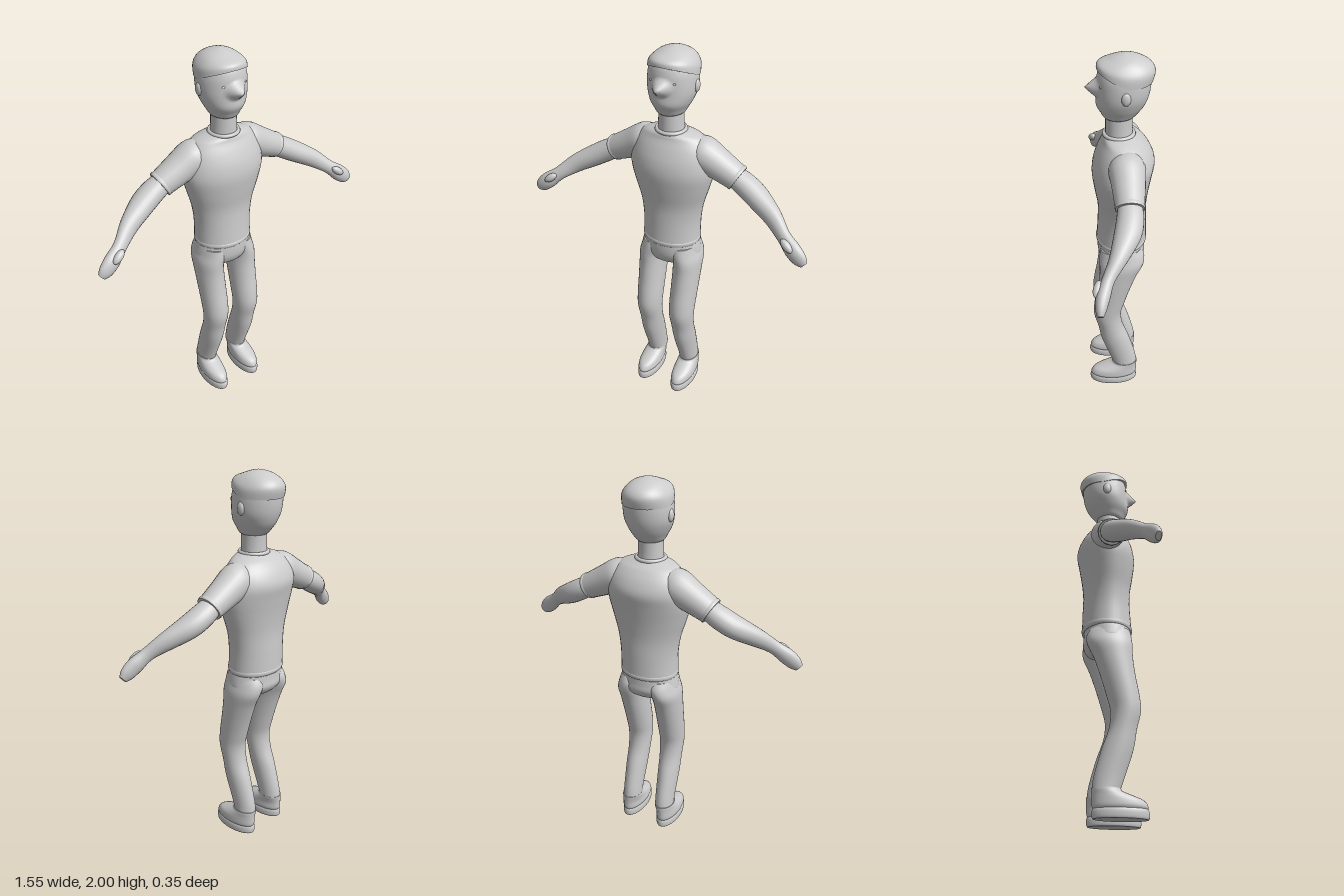
import * as THREE from 'three';

const grey = new THREE.MeshStandardMaterial({ color: 0xcccccc });
grey.name = 'plain grey';

// Catmull-Rom interpolation of section rows, n steps per span
function smooth(rows, n) {
  const out = [];
  const at = (i) => rows[Math.max(0, Math.min(rows.length - 1, i))];
  for (let i = 0; i < rows.length - 1; i++) {
    for (let k = 0; k < n; k++) {
      const t = k / n;
      out.push(rows[i].map((b, c) => {
        const a = at(i - 1)[c], d = at(i + 1)[c], e = at(i + 2)[c];
        return b + 0.5 * t * (d - a + t * (2 * a - 5 * b + 4 * d - e + t * (3 * (b - d) + e - a)));
      }));
    }
  }
  out.push(rows[rows.length - 1]);
  return out;
}

// Skin over elliptical rings {c, u, v}, with crisp end caps
function loft(name, rings, seg, warp) {
  const pos = [], idx = [], n = rings.length;
  const ringPoints = (r) => {
    for (let j = 0; j < seg; j++) {
      const a = (j / seg) * Math.PI * 2;
      const p = r.c.clone().addScaledVector(r.u, Math.cos(a)).addScaledVector(r.v, Math.sin(a));
      if (warp) warp(p);
      pos.push(p.x, p.y, p.z);
    }
  };
  rings.forEach(ringPoints);
  for (let i = 0; i < n - 1; i++) {
    for (let j = 0; j < seg; j++) {
      const a = i * seg + j, b = i * seg + (j + 1) % seg;
      idx.push(a, a + seg, b, b, a + seg, b + seg);
    }
  }
  [rings[0], rings[n - 1]].forEach((r, end) => {
    const base = pos.length / 3;
    ringPoints(r);
    pos.push(r.c.x, r.c.y, r.c.z);
    for (let j = 0; j < seg; j++) {
      const a = base + j, b = base + (j + 1) % seg;
      idx.push(...(end ? [a, base + seg, b] : [b, base + seg, a]));
    }
  });
  // turn faces outward whatever the direction of the rings
  const P = (k) => new THREE.Vector3().fromArray(pos, idx[k] * 3);
  let volume = 0;
  for (let k = 0; k < idx.length; k += 3) volume += P(k).dot(P(k + 1).cross(P(k + 2)));
  if (volume < 0) idx.reverse();
  const g = new THREE.BufferGeometry();
  g.setAttribute('position', new THREE.Float32BufferAttribute(pos, 3));
  g.setIndex(idx);
  g.computeVertexNormals();
  return named(name, g);
}

function named(name, geometry) {
  const m = new THREE.Mesh(geometry, grey);
  m.name = name;
  return m;
}

// Upright part: rows of [y, centre x, half width, front z, back z]
function upright(name, rows, s = 1, n = 4, seg = 32, warp) {
  return loft(name, smooth(rows, n).map(([y, cx, rx, zf, zb]) => ({
    c: new THREE.Vector3(cx * s, y, (zf + zb) / 2),
    u: new THREE.Vector3(rx, 0, 0),
    v: new THREE.Vector3(0, 0, (zf - zb) / 2),
  })), seg, warp);
}

// Limb in the front plane: rows of [x, y, z, half thickness, half depth]
function limb(name, rows, s, n = 4) {
  const r = smooth(rows, n);
  return loft(name, r.map(([x, y, z, ru, rz], i) => {
    const a = r[Math.max(0, i - 1)], b = r[Math.min(r.length - 1, i + 1)];
    const d = new THREE.Vector2(b[0] - a[0], b[1] - a[1]).normalize();
    return {
      c: new THREE.Vector3(x * s, y, z),
      u: new THREE.Vector3(-d.y * ru * s, d.x * ru, 0),
      v: new THREE.Vector3(0, 0, rz),
    };
  }), 24);
}

function ellipsoid(name, x, y, z, rx, ry, rz) {
  const m = named(name, new THREE.SphereGeometry(1, 20, 14));
  m.scale.set(rx, ry, rz);
  m.position.set(x, y, z);
  return m;
}

export function createModel() {
  const model = new THREE.Group();
  model.name = 'standingMan';

  // Shirt
  model.add(upright('shirt', [
    [0.985, 0, 0.155, 0.12, -0.142], [1.1, 0, 0.156, 0.112, -0.14], [1.2, 0, 0.171, 0.11, -0.138],
    [1.3, 0, 0.2, 0.125, -0.148], [1.39, 0, 0.222, 0.136, -0.163], [1.46, 0, 0.22, 0.128, -0.174],
    [1.52, 0, 0.2, 0.106, -0.153], [1.565, 0, 0.165, 0.083, -0.118], [1.585, 0, 0.13, 0.076, -0.09],
    [1.6, 0, 0.08, 0.068, -0.068]], 1, 4, 40));
  model.add(upright('shirtHem', [
    [0.974, 0, 0.15, 0.113, -0.135], [0.98, 0, 0.156, 0.12, -0.142],
    [0.995, 0, 0.157, 0.122, -0.144], [1.002, 0, 0.153, 0.117, -0.14]], 1, 2, 40));
  const collar = named('collar', new THREE.TorusGeometry(0.071, 0.01, 10, 36));
  collar.rotation.x = Math.PI / 2;
  collar.position.set(0, 1.6, 0.001);
  model.add(collar);

  // Hips
  model.add(upright('hips', [
    [0.843, 0, 0.09, 0.06, -0.07], [0.86, 0, 0.13, 0.09, -0.105], [0.9, 0, 0.162, 0.11, -0.133],
    [0.94, 0, 0.16, 0.116, -0.133], [0.98, 0, 0.152, 0.116, -0.132]]));

  // Neck and head
  model.add(upright('neck', [
    [1.58, 0, 0.067, 0.067, -0.067], [1.64, 0, 0.063, 0.066, -0.064],
    [1.72, 0, 0.061, 0.065, -0.066]], 1, 3));
  model.add(upright('head', [
    [1.685, 0, 0.045, 0.06, -0.05], [1.695, 0, 0.068, 0.076, -0.072], [1.72, 0, 0.083, 0.09, -0.095],
    [1.755, 0, 0.102, 0.108, -0.12], [1.8, 0, 0.118, 0.108, -0.138], [1.85, 0, 0.122, 0.106, -0.147],
    [1.9, 0, 0.117, 0.101, -0.148], [1.94, 0, 0.1, 0.085, -0.135], [1.97, 0, 0.06, 0.045, -0.095]],
  1, 6, 64, (p) => {
    // pointed nose drawn out of the face
    if (p.z > 0) p.z += 0.055 * Math.max(0, 1 - Math.hypot(p.x / 0.055, (p.y - 1.84) / 0.046));
  }));
  model.add(upright('hairCap', [
    [1.875, 0, 0.123, 0.105, -0.156], [1.92, 0, 0.119, 0.102, -0.166],
    [1.953, 0, 0.1, 0.086, -0.15], [1.978, 0, 0.072, 0.05, -0.112],
    [1.992, 0, 0.037, 0.01, -0.073], [1.999, 0, 0.002, -0.026, -0.03]], 1, 4, 40, (p) => {
    // rim rises toward the forehead
    p.y += 0.42 * Math.max(0, p.z + 0.04) * Math.max(0, (1.98 - p.y) / 0.105);
  }));

  for (const s of [1, -1]) {
    const side = s > 0 ? 'left' : 'right';
    const add = (m) => { m.name = side + m.name; model.add(m); };

    // Face details
    add(ellipsoid('Ear', s * 0.119, 1.83, -0.026, 0.014, 0.032, 0.022));
    add(ellipsoid('Eye', s * 0.06, 1.864, 0.087, 0.008, 0.005, 0.005));

    // Sleeve, cuff and arm
    add(limb('Sleeve', [
      [0.135, 1.49, -0.03, 0.08, 0.075], [0.16, 1.488, -0.03, 0.088, 0.089],
      [0.24, 1.448, -0.033, 0.078, 0.08], [0.345, 1.395, -0.034, 0.065, 0.068]], s));
    add(limb('Cuff', [
      [0.332, 1.402, -0.034, 0.066, 0.068], [0.338, 1.399, -0.034, 0.069, 0.071],
      [0.347, 1.394, -0.034, 0.067, 0.069]], s, 2));
    add(limb('Arm', [
      [0.32, 1.408, -0.034, 0.05, 0.055], [0.39, 1.37, -0.032, 0.057, 0.064],
      [0.47, 1.325, -0.014, 0.056, 0.064], [0.56, 1.275, 0.028, 0.048, 0.046],
      [0.64, 1.218, 0.08, 0.036, 0.032], [0.695, 1.175, 0.103, 0.043, 0.033],
      [0.737, 1.14, 0.113, 0.038, 0.025], [0.761, 1.12, 0.116, 0.022, 0.014]], s));
    const thumb = ellipsoid('Thumb', s * 0.67, 1.203, 0.126, 0.04, 0.02, 0.02);
    thumb.rotation.set(0, s * -0.3, s * -0.6);
    add(thumb);

    // Trouser leg
    add(upright('Leg', [
      [0.13, 0.104, 0.051, 0.038, -0.096], [0.2, 0.103, 0.052, 0.062, -0.086],
      [0.33, 0.102, 0.058, 0.105, -0.05], [0.43, 0.1, 0.062, 0.123, -0.015],
      [0.52, 0.1, 0.067, 0.144, -0.006], [0.6, 0.1, 0.07, 0.14, -0.025],
      [0.7, 0.101, 0.072, 0.122, -0.055], [0.8, 0.102, 0.073, 0.109, -0.09],
      [0.87, 0.1, 0.074, 0.108, -0.123], [0.92, 0.085, 0.076, 0.106, -0.128],
      [0.96, 0.08, 0.07, 0.1, -0.11]], s));

    // Shoe and sole
    add(upright('Sole', [
      [0, 0.11, 0.058, 0.17, -0.09], [0.01, 0.11, 0.061, 0.175, -0.095],
      [0.035, 0.11, 0.061, 0.175, -0.095], [0.05, 0.11, 0.055, 0.167, -0.089]], s, 3));
    add(upright('Shoe', [
      [0.045, 0.11, 0.056, 0.166, -0.09], [0.06, 0.11, 0.061, 0.17, -0.095],
      [0.088, 0.11, 0.059, 0.15, -0.096], [0.11, 0.108, 0.056, 0.098, -0.097],
      [0.128, 0.106, 0.054, 0.052, -0.098], [0.14, 0.105, 0.053, 0.043, -0.098]], s));
  }
  return model;
}
